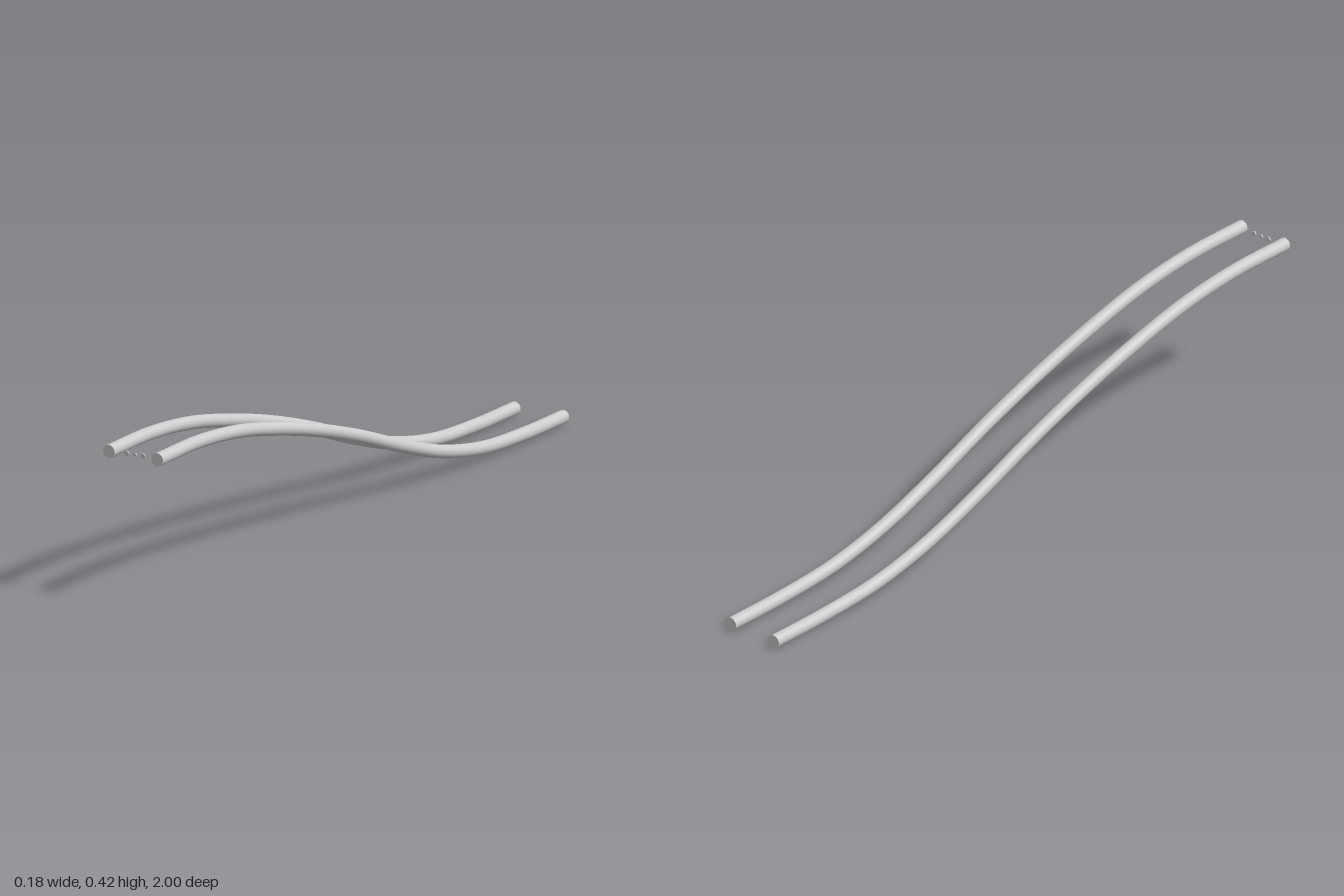
import * as THREE from 'three';

const material = new THREE.MeshStandardMaterial({ color: 0xcccccc });
const RADIUS = 0.018;
const RAIL_X = 0.074;
const TOP_Y = 0.398;

function add(parent, name, geometry, x, y, z) {
  const mesh = new THREE.Mesh(geometry, material);
  mesh.name = name;
  mesh.position.set(x, y, z);
  parent.add(mesh);
  return mesh;
}

export function createModel() {
  const model = new THREE.Group();
  model.name = 'slopingRails';

  // Side profile of a rail as [z, y], from high front to low back
  const profile = [
    [1, TOP_Y], [0.8, 0.397], [0.6, 0.376], [0.4, 0.333], [0.2, 0.279], [0, 0.213],
    [-0.2, 0.138], [-0.4, 0.073], [-0.6, 0.033], [-0.8, 0.02], [-1, 0.018],
  ];
  const path = new THREE.CatmullRomCurve3(profile.map(([z, y]) => new THREE.Vector3(0, y, z)));
  const tube = new THREE.TubeGeometry(path, 80, RADIUS, 32);
  const cap = new THREE.CircleGeometry(RADIUS, 32);

  // Two parallel round rails with closed ends
  for (const side of [1, -1]) {
    const rail = new THREE.Group();
    rail.name = side > 0 ? 'leftRail' : 'rightRail';
    rail.position.x = side * RAIL_X;
    add(rail, 'railTube', tube, 0, 0, 0);
    add(rail, 'frontCap', cap, 0, TOP_Y, 1);
    add(rail, 'backCap', cap, 0, 0.018, -1).rotation.y = Math.PI;
    model.add(rail);
  }

  // Row of three small thin discs between the front ends
  for (const [name, x, radius] of [
    ['leftDisc', 0.025, 0.007], ['centreDisc', 0, 0.005], ['rightDisc', -0.025, 0.007],
  ]) {
    const disc = new THREE.CylinderGeometry(radius, radius, 0.004, 24).rotateX(Math.PI / 2);
    add(model, name, disc, x, TOP_Y, 0.99);
  }

  return model;
}
